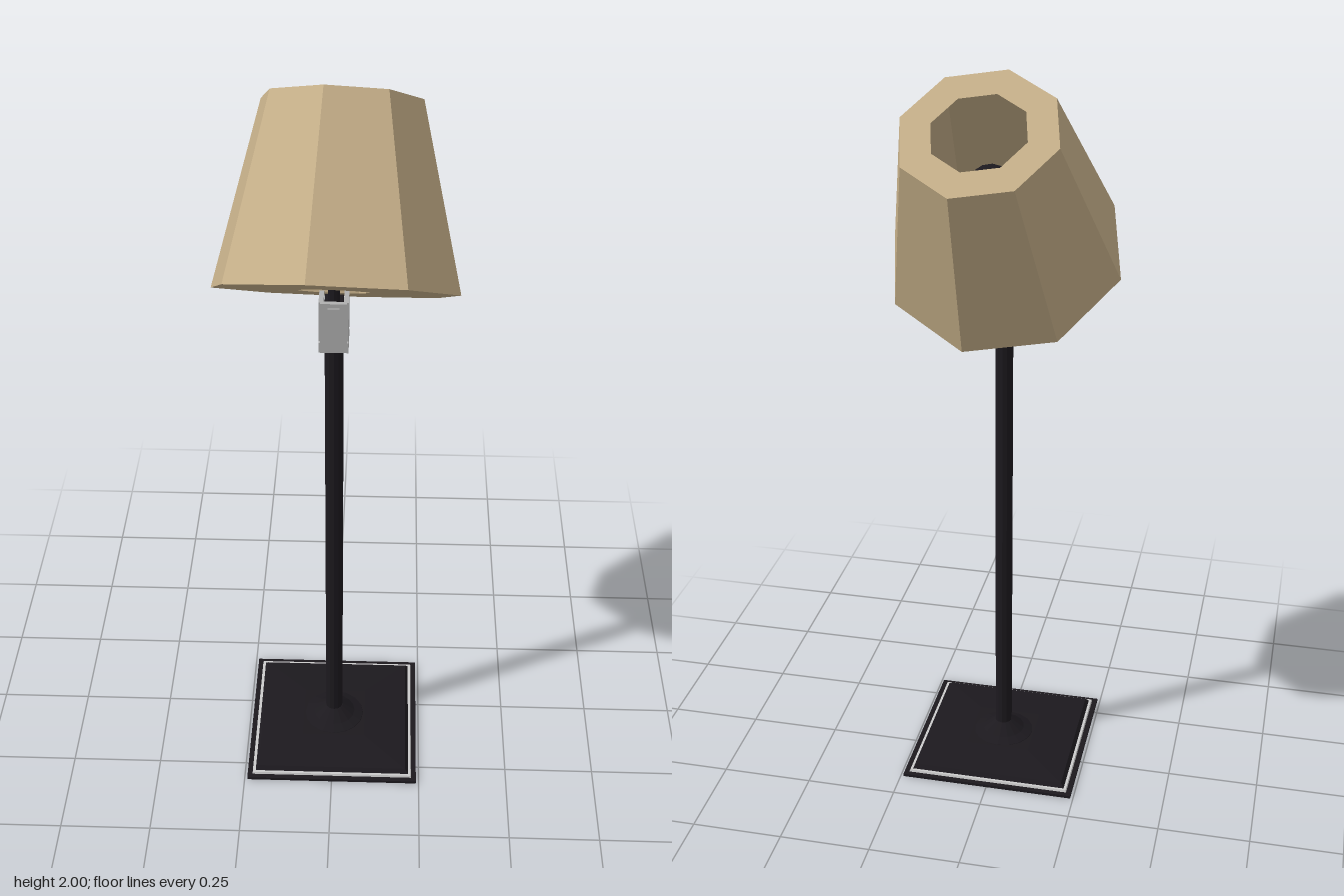
import * as THREE from 'three';

const material = (color, extra = {}) =>
  new THREE.MeshStandardMaterial({ color, flatShading: true, ...extra });

export function createModel() {
  const lamp = new THREE.Group();
  lamp.name = 'floorLamp';
  const black = material(0x1c191e);
  const steel = material(0xb0b0b0);
  const white = material(0xf2f2f2);
  const fabric = material(0xc4ae88, { side: THREE.DoubleSide });

  const add = (parent, name, geometry, mat, x = 0, y = 0, z = 0) => {
    const mesh = new THREE.Mesh(geometry, mat);
    mesh.name = name;
    mesh.position.set(x, y, z);
    parent.add(mesh);
    return mesh;
  };
  const lathe = (points, sides, start = 0) =>
    new THREE.LatheGeometry(points.map(([r, y]) => new THREE.Vector2(r, y)), sides, start);
  // Square slab whose top is narrower than its bottom
  const slab = (top, bottom, height) =>
    new THREE.CylinderGeometry(top * Math.SQRT2, bottom * Math.SQRT2, height, 4).rotateY(Math.PI / 4);

  // Stand: square foot, flared collar and pole, set forward of the shade's middle
  const stand = new THREE.Group();
  stand.name = 'stand';
  stand.position.z = 0.07;
  lamp.add(stand);
  add(stand, 'footPlate', slab(0.242, 0.242, 0.008), black, 0, 0.004);
  add(stand, 'footTrim', slab(0.226, 0.228, 0.006), white, 0, 0.011);
  add(stand, 'footCover', slab(0.21, 0.22, 0.012), black, 0, 0.019);
  add(stand, 'footSlope', slab(0.09, 0.21, 0.008), black, 0, 0.029);
  add(stand, 'collar', lathe([[0.09, 0.025], [0.085, 0.034], [0.06, 0.044], [0.025, 0.07], [0, 0.07]], 16), black);
  add(stand, 'pole', new THREE.CylinderGeometry(0.024, 0.024, 1.4, 12), black, 0, 0.74);

  // Steel bracket: a channel open to the back, with a lip below
  const bracket = new THREE.Group();
  bracket.name = 'bracket';
  lamp.add(bracket);
  add(bracket, 'bracketFront', new THREE.BoxGeometry(0.066, 0.13, 0.012), steel, 0, 1.422, 0.108);
  add(bracket, 'bracketRidge', new THREE.BoxGeometry(0.03, 0.1, 0.008), steel, 0, 1.425, 0.115);
  for (const side of [-1, 1]) {
    add(bracket, 'bracketSide', new THREE.BoxGeometry(0.012, 0.13, 0.056), steel, side * 0.031, 1.422, 0.078);
  }
  const lipShape = new THREE.Shape();
  lipShape.moveTo(-0.114, 1.345);
  [[-0.05, 1.345], [-0.034, 1.358], [-0.034, 1.366], [-0.05, 1.374], [-0.114, 1.374]]
    .forEach(([z, y]) => lipShape.lineTo(z, y));
  const lip = new THREE.ExtrudeGeometry(lipShape, { depth: 0.074, bevelEnabled: false });
  lip.translate(0, 0, -0.037).rotateY(Math.PI / 2);
  add(bracket, 'bracketLip', lip, steel);
  add(bracket, 'jointBlock', new THREE.BoxGeometry(0.046, 0.09, 0.04), black, 0, 1.43, 0.068);
  add(bracket, 'jointRod', new THREE.CylinderGeometry(0.015, 0.015, 0.1, 10), black, 0, 1.5, 0.082);

  // Head: everything turned about the tilted axis of the shade
  const bottom = new THREE.Vector3(0, 1.505, 0.084);
  const axis = new THREE.Vector3(0.01, 1.893, -0.175).sub(bottom);
  const height = axis.length();
  const head = new THREE.Group();
  head.name = 'head';
  head.position.copy(bottom);
  head.quaternion.setFromUnitVectors(new THREE.Vector3(0, 1, 0), axis.normalize());
  lamp.add(head);

  // Eight-sided shade with an open ring at each end
  add(head, 'shade', lathe([[0.09, 0], [0.313, 0], [0.203, height], [0.123, height]], 8, -0.19), fabric);
  add(head, 'bulbAndSocket', lathe([
    [0, 0.03], [0.028, 0.03], [0.028, 0.12], [0.042, 0.19], [0.06, 0.23],
    [0.063, 0.26], [0.048, 0.3], [0.025, 0.315], [0, 0.318],
  ], 12), black);

  return lamp;
}
